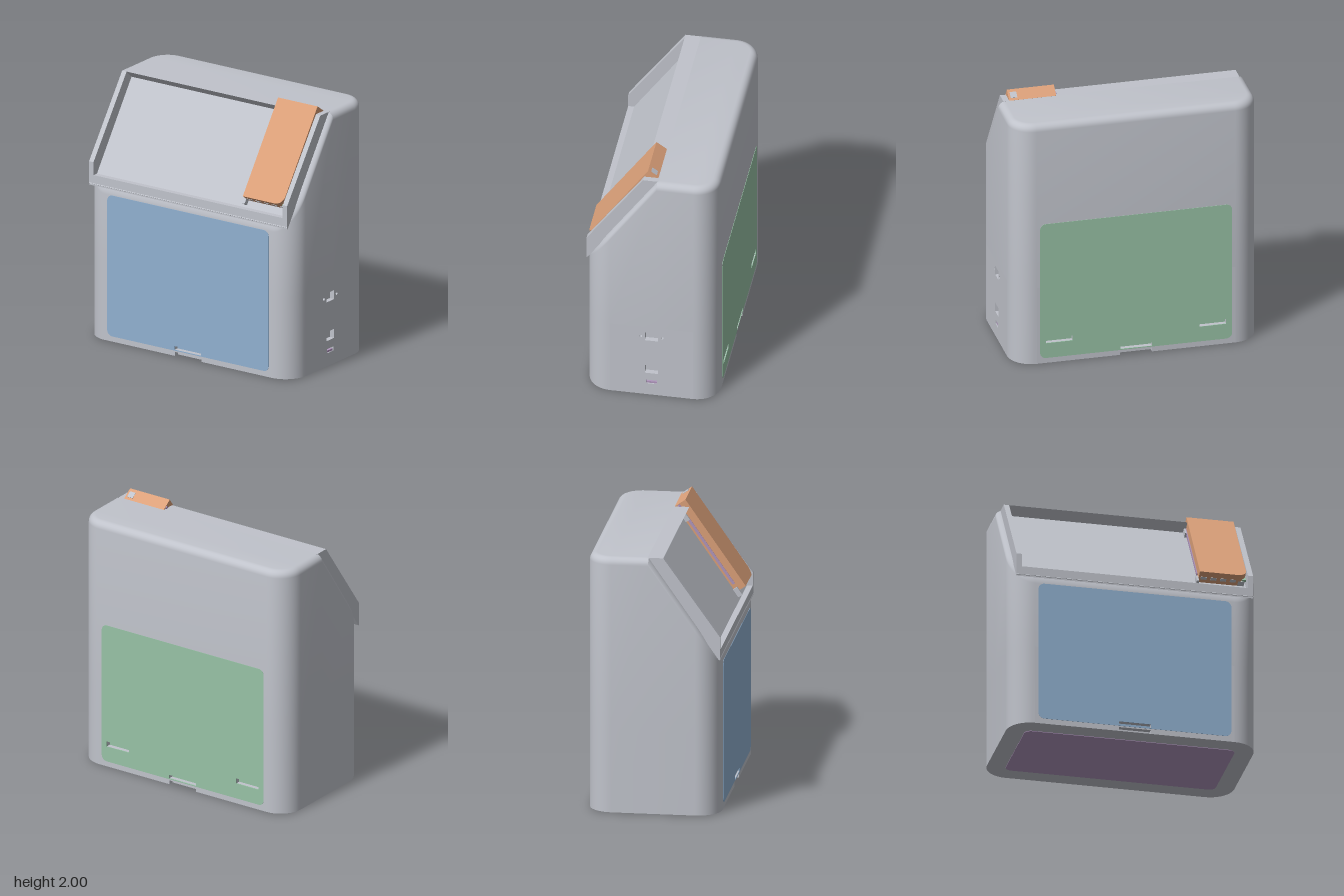
import * as THREE from 'three';
import { toCreasedNormals } from 'three/addons/utils/BufferGeometryUtils.js';

const material = (name, color) => {
  const m = new THREE.MeshStandardMaterial({ color });
  m.name = name;
  return m;
};

// Main dimensions
const W = 0.93, D = 0.49, R = 0.18, TOP = 1.945, FILLET = 0.055, BASE = 0.004, SPLIT = 0.62;
const SLOPE_Y = 1.19, SLOPE = 1.434, TILT = Math.atan(1 / SLOPE);
const CREASE = D - (TOP - SLOPE_Y) / SLOPE;
const topAt = z => Math.min(TOP, SLOPE_Y + (D - z) * SLOPE);

function rect(x0, y0, x1, y1, Type = THREE.Path) {
  const p = new Type();
  p.moveTo(x0, y0).lineTo(x1, y0).lineTo(x1, y1).lineTo(x0, y1).closePath();
  return p;
}

function roundedRect(x0, y0, x1, y1, r) {
  const s = new THREE.Shape();
  s.absarc(x1 - r, y0 + r, r, -Math.PI / 2, 0);
  s.absarc(x1 - r, y1 - r, r, 0, Math.PI / 2);
  s.absarc(x0 + r, y1 - r, r, Math.PI / 2, Math.PI);
  s.absarc(x0 + r, y0 + r, r, Math.PI, Math.PI * 1.5);
  s.closePath();
  return s;
}

const extrude = (shape, depth) =>
  new THREE.ExtrudeGeometry(shape, { depth, bevelEnabled: false, curveSegments: 8 });

// Rounded plan outline, shrunk by an inset; right half, then mirrored left half
function planRing(inset) {
  const half = [], seg = 12, r = R - inset;
  const arc = (cz, a0) => {
    for (let i = 0; i <= seg; i++) {
      const a = a0 - (i / seg) * Math.PI / 2;
      half.push([W - R + Math.cos(a) * r, cz + Math.sin(a) * r]);
    }
  };
  arc(D - R, Math.PI / 2);
  half.push([W - inset, CREASE]);
  arc(R - D, 0);
  return [...half, ...half.slice().reverse().map(([x, z]) => [-x, z])];
}

// Housing shell; its lower flat walls are left out for the panels with openings
function housingGeometry() {
  const pos = [], idx = [], steps = 6;
  const n = planRing(0).length, half = n / 2, side = 12;
  for (const y of [BASE, SPLIT]) planRing(0).forEach(([x, z]) => pos.push(x, y, z));
  for (let k = 0; k <= steps; k++) {
    const a = (k / steps) * Math.PI / 2;
    planRing(FILLET * (1 - Math.cos(a))).forEach(([x, z]) =>
      pos.push(x, topAt(z) - FILLET * (1 - Math.sin(a)), z));
  }
  const rows = steps + 3;
  const open = new Set([side, side + 1, half - 1, n - 1]);
  for (let k = 0; k < rows - 1; k++) {
    for (let i = 0; i < n; i++) {
      if (k === 0 && open.has(i)) continue;
      const j = (i + 1) % n, a = k * n, b = a + n;
      idx.push(a + i, a + j, b + j, a + i, b + j, b + i);
    }
  }
  const last = (rows - 1) * n;
  for (let i = 0; i < half - 1; i++) {
    const l = n - 1 - i;
    idx.push(last + i, last + i + 1, last + l - 1, last + i, last + l - 1, last + l);
    idx.push(i, l - 1, i + 1, i, l, l - 1);
  }
  const g = new THREE.BufferGeometry();
  g.setAttribute('position', new THREE.Float32BufferAttribute(pos, 3));
  g.setIndex(idx);
  return toCreasedNormals(g, 0.5);
}

// Prism along x from a (z, y) section
function prism(points, x0, x1) {
  const s = new THREE.Shape(points.map(([z, y]) => new THREE.Vector2(-z, y)));
  return extrude(s, x1 - x0).rotateY(Math.PI / 2).translate(x0, 0, 0);
}

export function createModel() {
  const grey = material('housing grey', 0xc0c3cb);
  const blue = material('front door blue', 0x90b0d0);
  const green = material('back door green', 0x98c2a6);
  const orange = material('cover orange', 0xdba079);
  const purple = material('base purple', 0xb096bd);

  const model = new THREE.Group();
  const add = (name, geometry, mat, parent = model) => {
    const m = new THREE.Mesh(geometry, mat);
    m.name = name;
    parent.add(m);
    return m;
  };
  const box = (name, x0, x1, y0, y1, z0, z1, mat, parent) =>
    add(name, new THREE.BoxGeometry(x1 - x0, y1 - y0, z1 - z0)
      .translate((x0 + x1) / 2, (y0 + y1) / 2, (z0 + z1) / 2), mat, parent);

  add('housing', housingGeometry(), grey);

  // Lower wall with openings and a recessed backing
  function wall(name, w, dist, angle, holes, notch) {
    const g = new THREE.Group();
    g.name = name;
    g.rotation.y = angle;
    model.add(g);
    const pts = notch
      ? [[-w, BASE], [-0.12, BASE], [-0.12, 0.035], [0.12, 0.035], [0.12, BASE], [w, BASE]]
      : [[-w, BASE], [w, BASE]];
    pts.push([w, SPLIT], [-w, SPLIT]);
    const s = new THREE.Shape(pts.map(p => new THREE.Vector2(...p)));
    s.holes.push(...holes());
    add(name + 'Panel', extrude(s, 0.04).translate(0, 0, dist - 0.04), grey, g);
    box(name + 'Backing', -w, w, BASE, SPLIT, dist - 0.05, dist - 0.04, grey, g);
    return g;
  }

  // Front and back doors with finger pulls
  function door(name, angle, mat, extra) {
    const slots = [[-0.12, 0.052, 0.12, 0.08], ...extra];
    const holes = () => slots.map(s => rect(...s));
    const g = wall(name + 'Wall', W - R, D, angle, holes, true);
    const s = roundedRect(-0.725, 0.045, 0.725, 1.135, 0.045);
    s.holes.push(...holes());
    add(name, extrude(s, 0.007).translate(0, 0, D - 0.004), mat, g);
    slots.forEach(([x0, y0, x1, y1]) =>
      box(name + 'SlotFloor', x0, x1, y0, y1, D - 0.041, D - 0.036, mat, g));
  }
  door('frontDoor', 0, blue, []);
  door('backDoor', Math.PI, green, [[-0.68, 0.165, -0.48, 0.205], [0.48, 0.165, 0.68, 0.205]]);

  // Side sockets, with screw holes beside the upper one
  const sockets = () => {
    const round = [-0.08, 0.08].map(x => new THREE.Path().absarc(x, 0.535, 0.011, 0, Math.PI * 2));
    return [rect(-0.05, 0.5, 0.05, 0.57), rect(-0.05, 0.2, 0.05, 0.27),
      rect(-0.04, 0.105, 0.04, 0.137), ...round];
  };
  const sideWall = wall('socketWall', D - R, W, Math.PI / 2, sockets, false);
  box('smallSocket', -0.04, 0.04, 0.105, 0.12, W - 0.04, W - 0.008, purple, sideWall);

  // Base plate
  add('basePlate', extrude(roundedRect(-0.79, -0.35, 0.79, 0.35, 0.05), 0.006)
    .rotateX(Math.PI / 2).translate(0, 0.006, 0), purple);

  // Raised frame around the sloping screen
  for (const s of [-1, 1]) {
    const x = s > 0 ? 0.85 : -0.89;
    add('frameSide', prism([[D, 1.18], [D, 1.36], [0.07, TOP], [-0.045, TOP]], x, x + 0.04), grey);
  }
  add('frameTop', prism([[-0.045, TOP], [0.004, 1.885], [0.07, TOP]], -0.85, 0.85), grey);
  add('frameLip', prism([[D, 1.18], [D, 1.26], [0.435, 1.26]], -0.85, 0.85), grey);

  // Parts lying on the slope: local y runs up it, local z points out of it
  const slope = new THREE.Group();
  slope.name = 'slopeParts';
  slope.position.set(0, SLOPE_Y, D);
  slope.rotation.x = -TILT;
  model.add(slope);
  box('screenPanel', -0.89, 0.89, 0, 0.91, -0.01, 0.004, grey, slope);

  // Control cover with one rounded corner
  const c = new THREE.Shape();
  c.moveTo(0.49, 0.139).lineTo(0.775, 0.139);
  c.absarc(0.775, 0.209, 0.07, -Math.PI / 2, 0);
  c.lineTo(0.845, 0.921).lineTo(0.49, 0.921).closePath();
  add('controlCover', extrude(c, 0.095), orange, slope);
  for (let i = 0; i < 4; i++) {
    const x = 0.505 + i * 0.073;
    box('coverSlot', x, x + 0.045, 0.136, 0.141, 0.03, 0.052, grey, slope);
  }
  box('cornerBracket', 0.785, 0.835, 0.14, 0.17, 0.004, 0.04, grey, slope);
  box('cornerConnector', 0.815, 0.845, 0.145, 0.18, 0.04, 0.055, green, slope);
  box('endSocket', 0.78, 0.83, 0.919, 0.924, 0.02, 0.07, grey, slope);
  box('circuitBoard', 0.484, 0.492, 0.2, 0.915, 0.02, 0.04, purple, slope);
  for (const y of [0.1, 0.78]) box('coverClip', 0.472, 0.49, y, y + 0.07, 0, 0.04, grey, slope);

  return model;
}
